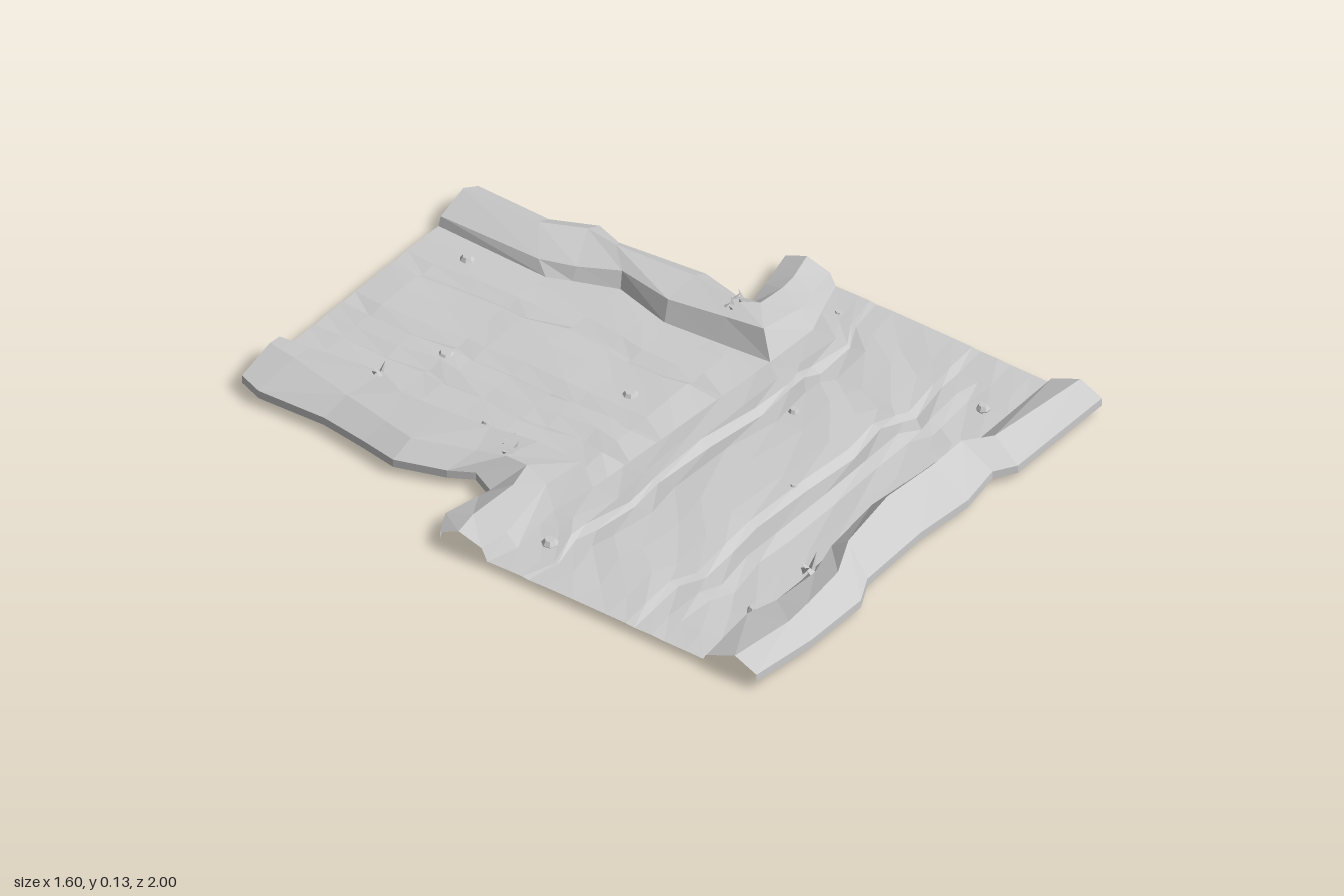
import * as THREE from 'three';

const dirt = new THREE.MeshStandardMaterial({ color: 0xcccccc, flatShading: true, side: THREE.DoubleSide });
const FOOT = 0.022;

// Skin a grid of points given as equal-length rows
function loft(name, rows) {
  const n = rows[0].length, idx = [];
  for (let i = 0; i < rows.length - 1; i++) {
    for (let j = 0; j < n - 1; j++) {
      const a = i * n + j, b = a + n;
      idx.push(a, b, a + 1, a + 1, b, b + 1);
    }
  }
  const g = new THREE.BufferGeometry();
  g.setAttribute('position', new THREE.Float32BufferAttribute(rows.flat(2), 3));
  g.setIndex(idx);
  g.computeVertexNormals();
  const m = new THREE.Mesh(g, dirt);
  m.name = name;
  return m;
}

// Linear interpolation along a list of [t, value]
function along(line, t) {
  for (let i = 1; i < line.length; i++) {
    const [t0, v0] = line[i - 1], [t1, v1] = line[i];
    if (t <= t1) return v0 + (v1 - v0) * (t - t0) / (t1 - t0);
  }
  return line[line.length - 1][1];
}

// Bank stations: foot x,z, lip x,z, shoulder x,z, outer edge x,z, lip height, shoulder height
const leftBank = [
  [-.37, -1, -.375, -1, -.42, -1, -.55, -1, .08, .085],
  [-.36, -.9, -.37, -.9, -.44, -.9, -.58, -.92, .085, .09],
  [-.33, -.62, -.36, -.65, -.49, -.68, -.57, -.7, .105, .09],
  [-.37, -.55, -.41, -.55, -.52, -.52, -.59, -.55, .11, .088],
  [-.36, -.28, -.41, -.4, -.54, -.42, -.61, -.43, .115, .088],
  [-.36, -.2, -.40, -.25, -.48, -.24, -.56, -.28, .12, .09],
  [-.34, -.08, -.38, -.1, -.46, -.15, -.52, -.21, .125, .1],
  [-.35, .07, -.37, .04, -.47, -.07, -.56, -.13, .11, .11],
  [-.5, .045, -.5, .02, -.56, -.05, -.6, -.14, .1, .105],
  [-.7, .07, -.71, .04, -.72, -.07, -.72, -.165, .07, .088],
  [-.8, .04, -.8, .02, -.8, -.06, -.8, -.125, .06, .082],
];
const rightBank = [
  [.36, -1, .37, -1, .475, -1, .545, -1, .05, .085],
  [.35, -.62, .37, -.66, .475, -.74, .54, -.75, .055, .085],
  [.38, -.55, .4, -.55, .53, -.61, .60, -.62, .06, .088],
  [.43, -.42, .45, -.43, .515, -.5, .57, -.53, .07, .09],
  [.38, -.23, .41, -.24, .53, -.24, .60, -.25, .08, .092],
  [.395, -.05, .43, -.06, .5, -.06, .57, -.12, .09, .1],
  [.41, .115, .44, .07, .53, -.01, .56, -.07, .1, .1],
  [.6, .12, .6, .08, .63, -.01, .66, -.09, .08, .09],
  [.68, .09, .68, .06, .7, -.02, .7, -.1, .07, .086],
  [.8, .05, .8, .03, .8, -.05, .8, -.125, .06, .082],
];
const frontBank = [
  [-.8, .79, -.8, .80, -.8, .9, -.8, .975, .04, .083],
  [-.57, .765, -.58, .78, -.59, .93, -.58, 1, .045, .09],
  [-.5, .8, -.5, .82, -.5, .93, -.48, 1, .06, .1],
  [-.35, .79, -.35, .84, -.35, .92, -.35, 1, .075, .112],
  [-.22, .78, -.22, .8, -.22, .86, -.26, .955, .07, .118],
  [0, .755, 0, .775, 0, .83, 0, .945, .07, .125],
  [.2, .775, .2, .79, .2, .835, .2, .96, .065, .115],
  [.35, .77, .35, .79, .35, .825, .345, .935, .055, .105],
  [.45, .8, .45, .815, .43, .88, .41, .975, .05, .1],
  [.8, .79, .8, .8, .8, .9, .8, .975, .04, .083],
];

const bank = (name, stations) => loft(name, stations.map(([fx, fz, lx, lz, sx, sz, ox, oz, lh, sh]) =>
  [[fx, FOOT, fz], [lx, lh, lz], [sx, sh, sz], [ox, .05, oz], [ox, .025, oz]]));

// Height of a bank at a point, taken from the nearest lip or shoulder
function bankHeight(x, z) {
  let best = 9, h = 0;
  for (const s of [...leftBank, ...rightBank, ...frontBank]) {
    for (const [k, hk] of [[2, 8], [4, 9]]) {
      const d = Math.hypot(s[k] - x, s[k + 1] - z);
      if (d < best) { best = d; h = s[hk]; }
    }
  }
  return h;
}

// Through road: rows of ruts running along x
function crossRoad() {
  const back = [...leftBank.slice(7).reverse(), ...rightBank.slice(6)].map(s => [s[0], s[1]]);
  const front = frontBank.map(s => [s[0], s[1]]);
  const xs = [-.8, -.7, -.57, -.5, -.35, -.22, 0, .2, .35, .41, .45, .6, .68, .8];
  const ruts = [[0, FOOT], [.1, .03], [.16, .036], [.19, .018], [.27, .032], [.4, .036], [.55, .036],
    [.64, .034], [.68, .018], [.76, .03], [.82, .018], [.92, .02], [1, FOOT]];
  return loft('crossRoad', ruts.map(([v, y], i) => xs.map((x, j) => {
    const inner = v > 0 && v < 1, end = Math.abs(x) === .8;
    const b = along(back, x), f = along(front, x);
    const fade = Math.max(.15, 1 - Math.abs(x) * 1.05);
    return [x, inner ? .023 + (y - .023) * fade + (end ? 0 : .003 * Math.sin(j * 2.3 + i * 1.7)) : y,
      b + (f - b) * v + (inner && !end ? .014 * Math.sin(j * 1.9 + Math.floor(i / 3)) : 0)];
  })));
}

// Side road: columns of ruts running along z
function sideRoad() {
  const left = leftBank.slice(0, 8).map(s => [s[1], s[0]]);
  const right = rightBank.slice(0, 7).map(s => [s[1], s[0]]);
  const zs = [-1, -.9, -.75, -.62, -.55, -.42, -.28, -.2, -.08, 0, 1];
  const ruts = [[0, FOOT], [.08, .026], [.18, .034], [.205, .018], [.28, .032], [.36, .036], [.385, .018],
    [.46, .032], [.6, .034], [.7, .034], [.73, .018], [.8, .03], [.92, .026], [1, FOOT]];
  return loft('sideRoad', zs.map((z, i) => ruts.map(([u, y], j) => {
    const last = z === 1, inner = u > 0 && u < 1;
    const l = last ? -.35 : along(left, z), r = last ? .41 : along(right, z);
    const zz = last ? .07 + .045 * u : z;
    const depth = i === 0 ? .2 : .75 + .25 * Math.sin(i * 1.3 + j);
    return [l + (r - l) * u + (inner && !last ? .01 * Math.sin(i * 1.8 + Math.floor(j / 3)) : 0),
      last || !inner ? FOOT : .025 + (y - .025) * depth, zz];
  })));
}

// A few bent blades growing from one spot
function grassTuft(x, z, size) {
  const tuft = new THREE.Group();
  tuft.name = 'grassTuft';
  for (let i = 0; i < 3; i++) {
    const g = new THREE.ConeGeometry(.011 * size, .05 * size, 3);
    g.translate(0, .02 * size, 0);
    const blade = new THREE.Mesh(g, dirt);
    blade.name = 'blade';
    blade.rotation.set(0, i * 2.1 + x * 9, .45 + .2 * i);
    blade.position.set(.013 * Math.cos(i * 2.1), 0, .013 * Math.sin(i * 2.1));
    tuft.add(blade);
  }
  tuft.position.set(x, bankHeight(x, z) - .003, z);
  return tuft;
}

export function createModel() {
  const model = new THREE.Group();
  model.name = 'roadJunction';
  model.add(crossRoad(), sideRoad(), bank('leftBank', leftBank), bank('rightBank', rightBank), bank('frontBank', frontBank));

  // Pebbles half sunk in the road: x, z, radius
  const pebbles = [[-.63, .13, .025], [.71, .13, .018], [.26, .31, .018], [-.02, .52, .014], [.59, .72, .021],
    [-.54, .77, .02], [.28, -.84, .023], [-.11, -.62, .028], [-.3, -.34, .014], [.05, -.1, .026]];
  pebbles.forEach(([x, z, r], i) => {
    const p = new THREE.Mesh(new THREE.CylinderGeometry(r * .6, r, .013, 7), dirt);
    const under = new THREE.Mesh(new THREE.CylinderGeometry(r, r * .7, .013, 7), dirt);
    const pebble = new THREE.Group();
    p.position.y = .0065;
    under.position.y = -.0065;
    p.name = 'pebbleTop';
    under.name = 'pebbleBase';
    pebble.add(p, under);
    pebble.name = 'pebble';
    pebble.position.set(x, i === 1 ? .013 : .026, z);
    pebble.rotation.y = i;
    model.add(pebble);
  });

  for (const t of [[-.44, -.15, .8], [-.41, -.18, .7], [-.37, -.66, .75], [.51, -.07, .6], [.47, -.07, .5], [-.35, .82, 1.1]]) {
    model.add(grassTuft(...t));
  }
  return model;
}
